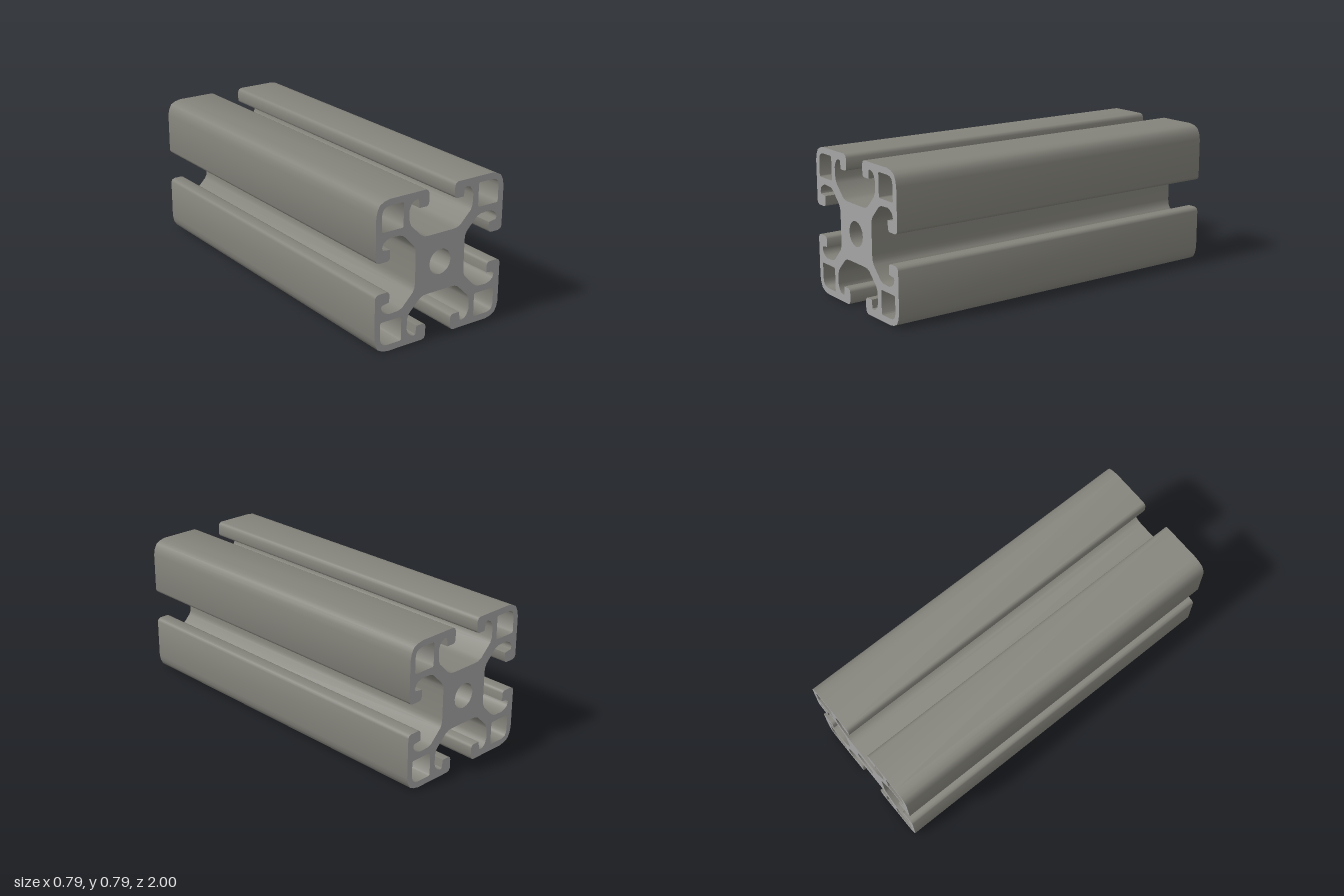
import * as THREE from 'three';
import { toCreasedNormals } from 'three/addons/utils/BufferGeometryUtils.js';

const HALF = 0.396; // half the width of the square section
const LENGTH = 2;

// Half of one T-slot, from its floor out to the rounded outer corner: [across, outward]
const halfSlot = [
  [0.075, 0.154], [0.1, 0.156], [0.122, 0.166], [0.186, 0.229], [0.196, 0.252],
  [0.199, 0.31], [0.19, 0.335], [0.176, 0.352], [0.155, 0.359], [0.143, 0.354],
  [0.137, 0.31], [0.094, 0.31], [0.084, 0.316], [0.08, 0.327], [0.08, 0.375],
  [0.087, 0.39], [0.1, HALF], [0.315, HALF], [0.348, 0.389],
];

// Hollow corner cell, from its inner corner to the diagonal
const halfCell = [
  [0.233, 0.239], [0.233, 0.356], [0.239, 0.362], [0.32, 0.362], [0.338, 0.358],
];

const flip = ([a, b]) => [b, a];

// Mirrors half an outline across the diagonal, through a point on it
const mirrored = (half, d) => [...half.map(flip), [d, d], ...half.slice().reverse()];

// Turns points by quarter turns about the centre
const turned = (points, quarter) => points.map(([x, y]) => {
  for (let i = 0; i < quarter; i++) [x, y] = [-y, x];
  return new THREE.Vector2(x, y);
});

export function createModel() {
  const endMaterial = new THREE.MeshStandardMaterial({ color: 0xa4a4a4 });
  endMaterial.name = 'cut end grey';
  const sideMaterial = new THREE.MeshStandardMaterial({ color: 0x84837b });
  sideMaterial.name = 'warm aluminium grey';

  // Outer outline: the same quarter four times
  const quarters = [0, 1, 2, 3];
  const outline = new THREE.Shape(
    quarters.flatMap((q) => turned(mirrored(halfSlot, 0.375), q)));

  // Four corner cells
  for (const q of quarters) {
    outline.holes.push(new THREE.Path(turned(mirrored(halfCell, 0.351), q)));
  }

  // Round centre bore
  const bore = [];
  for (let i = 0; i < 16; i++) {
    const a = (i / 16) * Math.PI * 2;
    bore.push(new THREE.Vector2(0.067 * Math.cos(a), 0.067 * Math.sin(a)));
  }
  outline.holes.push(new THREE.Path(bore));

  // Extrusion: group 0 is the cut ends, group 1 the long walls
  const extruded = new THREE.ExtrudeGeometry(outline, { depth: LENGTH, bevelEnabled: false });
  extruded.translate(0, HALF, -LENGTH / 2);
  const rail = new THREE.Mesh(toCreasedNormals(extruded, 0.8), [endMaterial, sideMaterial]);
  rail.name = 'slottedRail';

  const group = new THREE.Group();
  group.name = 'slottedExtrusion';
  group.add(rail);
  return group;
}
